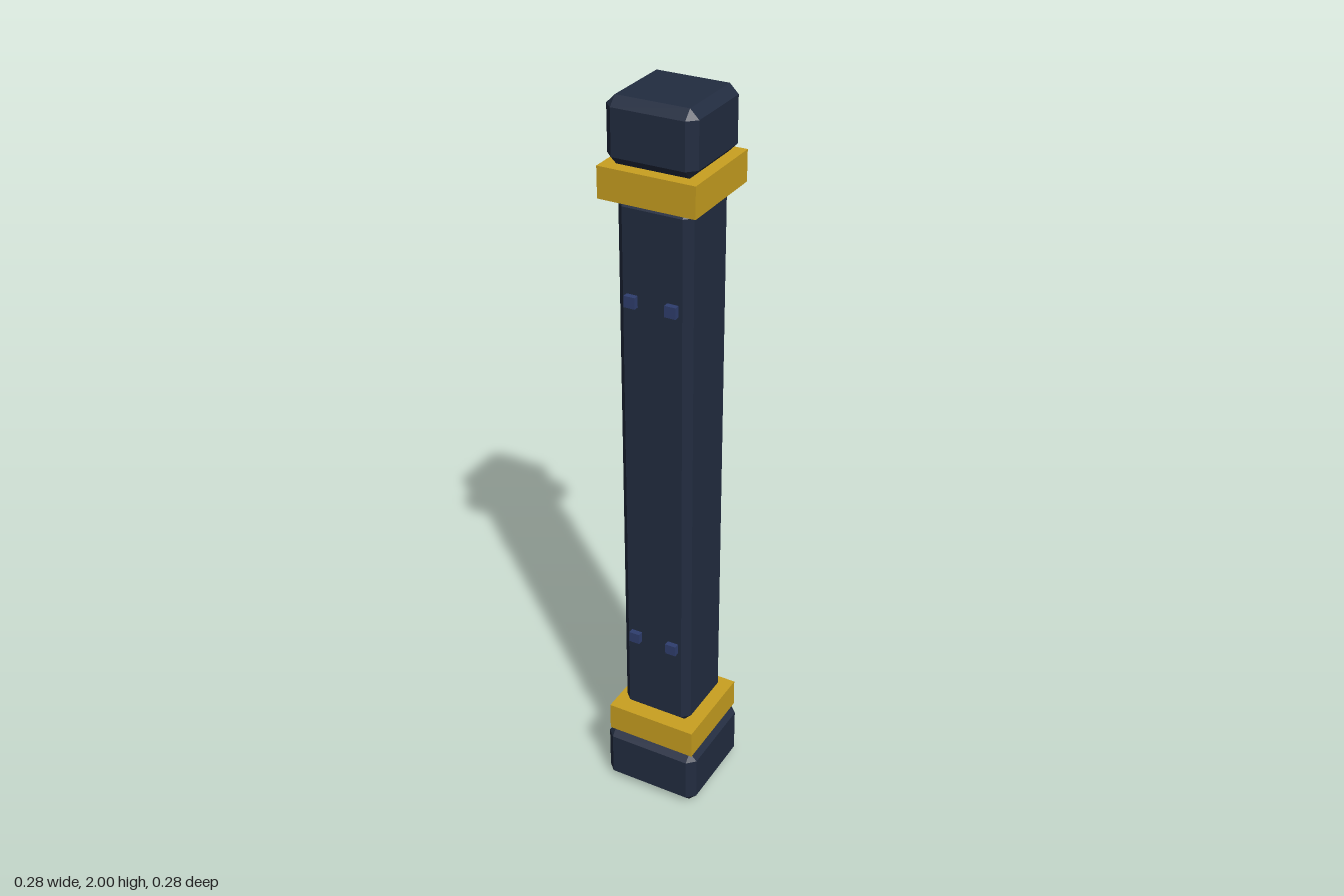
import * as THREE from 'three';
import { ConvexGeometry } from 'three/addons/geometries/ConvexGeometry.js';

const material = (name, color) => {
  const m = new THREE.MeshStandardMaterial({ color });
  m.name = name;
  return m;
};

// Box with every edge cut at 45 degrees, spanning y0 to y1
function chamferedBox(half, y0, y1, cut) {
  const h = [half, (y1 - y0) / 2, half];
  const points = [];
  for (const sx of [-1, 1]) for (const sy of [-1, 1]) for (const sz of [-1, 1]) {
    for (let axis = 0; axis < 3; axis++) {
      const p = h.map((v, i) => (i === axis ? v : v - cut));
      points.push(new THREE.Vector3(sx * p[0], sy * p[1], sz * p[2]));
    }
  }
  return new ConvexGeometry(points).translate(0, (y0 + y1) / 2, 0);
}

export function createModel() {
  const group = new THREE.Group();
  group.name = 'pillar';
  const navy = material('dark navy', 0x222c40);
  const gold = material('gold', 0xc9a020);
  const blue = material('stud blue', 0x2f3e6e);

  const add = (name, geometry, mat) => {
    const mesh = new THREE.Mesh(geometry, mat);
    mesh.name = name;
    group.add(mesh);
    return mesh;
  };

  // Base, shaft and cap
  add('base', chamferedBox(0.138, 0, 0.17, 0.022), navy);
  add('shaft', chamferedBox(0.1, 0.25, 1.757, 0.02), navy);
  add('cap', chamferedBox(0.118, 1.837, 2, 0.023), navy);

  // Square bands at each end of the shaft
  for (const [name, y] of [['lowerBand', 0.21], ['upperBand', 1.797]]) {
    add(name, new THREE.BoxGeometry(0.256, 0.08, 0.256), gold).position.y = y;
  }

  // Small studs on the front and back faces
  const stud = new THREE.BoxGeometry(0.03, 0.03, 0.03);
  for (const y of [0.503, 1.503]) for (const x of [-0.055, 0.055]) for (const z of [-0.1, 0.1]) {
    add(z > 0 ? 'frontStud' : 'backStud', stud, blue).position.set(x, y, z);
  }
  return group;
}
